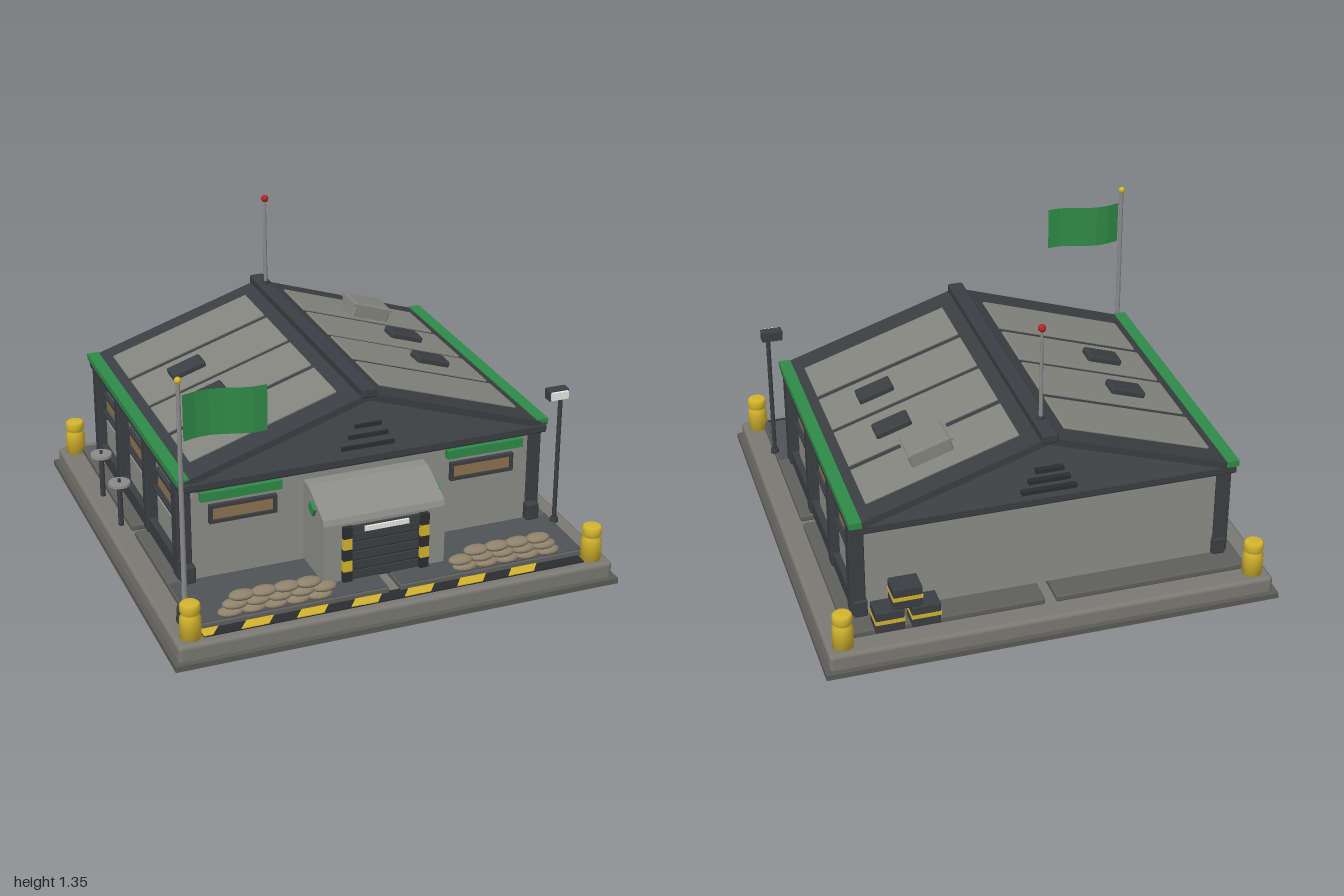
import * as THREE from 'three';
import { RoundedBoxGeometry } from 'three/addons/geometries/RoundedBoxGeometry.js';

const mat = (color, extra = {}) => new THREE.MeshStandardMaterial({ color, ...extra });
const M = {
  slab: mat(0x7a7972), footing: mat(0x5c5b56), paving: mat(0x5f605d), apron: mat(0x505356),
  wall: mat(0x8c8c88), panel: mat(0x85857f), dark: mat(0x3b3e42), gable: mat(0x494c50),
  black: mat(0x2b2d30), green: mat(0x2f8a48), yellow: mat(0xd4b52e), glass: mat(0x8c7250),
  sand: mat(0x8f826c), metal: mat(0x8a8a8a), white: mat(0xe8e8e4), red: mat(0xb02525),
  flag: mat(0x2f8a48, { side: THREE.DoubleSide, flatShading: true }),
};

function add(parent, name, geo, m, x = 0, y = 0, z = 0) {
  const mesh = new THREE.Mesh(geo, m);
  mesh.name = name;
  mesh.position.set(x, y, z);
  parent.add(mesh);
  return mesh;
}
// Box given by its extents on each axis
function box(parent, name, m, [x0, x1], [y0, y1], [z0, z1], r = 0) {
  const s = [x1 - x0, y1 - y0, z1 - z0];
  const geo = r ? new RoundedBoxGeometry(...s, 2, r) : new THREE.BoxGeometry(...s);
  return add(parent, name, geo, m, (x0 + x1) / 2, (y0 + y1) / 2, (z0 + z1) / 2);
}
function cyl(parent, name, m, r0, r1, y0, y1, x, z, n = 16) {
  return add(parent, name, new THREE.CylinderGeometry(r1, r0, y1 - y0, n), m, x, (y0 + y1) / 2, z);
}
function group(parent, name, x = 0, y = 0, z = 0, ry = 0) {
  const g = new THREE.Group();
  g.name = name;
  g.position.set(x, y, z);
  g.rotation.y = ry;
  parent.add(g);
  return g;
}
const polygon = (pts) => new THREE.Shape(pts.map((p) => new THREE.Vector2(...p)));
const extrude = (shape, depth) => new THREE.ExtrudeGeometry(shape, { depth, bevelEnabled: false });

// Framed window facing +z, its back on z = 0
function windowUnit(parent, x, y, z, ry, w, h) {
  const g = group(parent, 'window', x, y, z, ry);
  const rect = (a, b) => [[-a, -b], [a, -b], [a, b], [-a, b]];
  const frame = polygon(rect(w / 2, h / 2));
  frame.holes.push(polygon(rect(w / 2 - 0.015, h / 2 - 0.015).reverse()));
  add(g, 'windowFrame', extrude(frame, 0.02), M.dark);
  box(g, 'windowGlass', M.glass, [-w / 2 + 0.01, w / 2 - 0.01], [-h / 2 + 0.01, h / 2 - 0.01], [0, 0.01]);
}

function buildBase(root) {
  const g = group(root, 'base');
  box(g, 'footing', M.footing, [-1, 1], [0, 0.025], [-1, 1]);
  box(g, 'slab', M.slab, [-0.98, 0.98], [0.01, 0.1], [-0.98, 0.98], 0.02);
  // Four paving plates with a cross-shaped gap
  for (const s of [-1, 1]) {
    const xs = [0.025, 0.885].map((v) => v * s).sort((a, b) => a - b);
    box(g, 'pavingPlate', M.paving, xs, [0.1, 0.13], [-0.885, -0.025], 0.008);
    box(g, 'pavingPlate', M.paving, xs, [0.1, 0.13], [0.025, 0.885], 0.008);
    box(g, 'apron', M.apron, [xs[0] + 0.006, xs[1] - 0.006], [0.125, 0.133], [0.53, 0.879]);
  }
  // Hazard strip along the front edge
  box(g, 'hazardStrip', M.black, [-0.86, 0.86], [0.095, 0.106], [0.87, 0.94]);
  for (let i = -3; i <= 3; i++) {
    const x = -0.13 + i * 0.24;
    const a = Math.max(x - 0.09, -0.86);
    const stripe = polygon([[a, -0.94], [x + 0.03, -0.94], [x + 0.08, -0.87], [Math.max(x - 0.04, -0.86), -0.87]]);
    add(g, 'hazardStripe', extrude(stripe, 0.004), M.yellow, 0, 0.105, 0).rotation.x = -Math.PI / 2;
  }
  // Corner bollards
  const profile = [[0, 0.1], [0.045, 0.1], [0.045, 0.19], [0.036, 0.205], [0.036, 0.215],
    [0.043, 0.222], [0.043, 0.25], [0.036, 0.257], [0, 0.257]].map((p) => new THREE.Vector2(...p));
  for (const x of [-0.907, 0.907]) for (const z of [-0.91, 0.91])
    add(g, 'bollard', new THREE.LatheGeometry(profile, 20), M.yellow, x, 0, z);
}

function buildWalls(root) {
  const g = group(root, 'walls');
  box(g, 'wallBody', M.wall, [-0.79, 0.79], [0.13, 0.58], [-0.765, 0.525]);
  box(g, 'eaveBeam', M.dark, [-0.84, 0.84], [0.565, 0.605], [-0.83, 0.58], 0.008);
  box(g, 'frontHeadTrim', M.dark, [-0.76, 0.76], [0.547, 0.566], [0.52, 0.545]);
  for (const s of [-1, 1]) {
    const side = group(g, 'sideWall', s * 0.79, 0, 0, s * Math.PI / 2);
    // Local x runs along the wall, local z outwards
    const span = (a, b) => (s > 0 ? [-b, -a] : [a, b]);
    box(side, 'plinth', M.dark, span(-0.79, 0.565), [0.13, 0.21], [-0.02, 0.04], 0.008);
    for (const [a, b] of [[0.455, 0.53], [0.02, 0.08], [-0.41, -0.35], [-0.78, -0.71]])
      box(side, 'pillar', M.dark, span(a, b), [0.14, 0.575], [-0.015, 0.05], 0.006);
    for (const c of [0.27, -0.165, -0.56]) {
      windowUnit(side, -s * c, 0.427, 0, 0, 0.3, 0.095);
      box(side, 'windowSill', M.dark, span(c - 0.15, c + 0.15), [0.375, 0.387], [0, 0.028]);
      box(side, 'wallPanel', M.wall, span(c - 0.15, c + 0.15), [0.19, 0.335], [-0.005, 0.012], 0.006);
    }
    // Front face
    windowUnit(g, s * 0.55, 0.43, 0.525, 0, 0.3, 0.085);
    box(g, 'frontAwning', M.green, [s * 0.56 - 0.18, s * 0.56 + 0.18], [0.5, 0.54], [0.52, 0.555]);
  }
}

function buildRoof(root) {
  const g = group(root, 'roof');
  const tilt = 0.316, c = Math.cos(tilt);
  add(g, 'gable', extrude(polygon([[-0.82, 0.595], [0.82, 0.595], [0, 0.87]]), 1.385), M.gable, 0, 0, -0.82);
  for (const s of [-1, 1]) {
    const slope = group(g, 'roofSlope', 0, 0.885, 0);
    slope.rotation.z = -s * tilt;
    // Extents are given as plan x, stretched along the slope
    const on = (name, m, a, b, h, z, r) =>
      box(slope, name, m, [s * a / c, s * b / c].sort((p, q) => p - q), h, z, r);
    on('roofDeck', M.dark, 0, 0.84, [-0.03, 0], [-0.83, 0.575]);
    for (const z of [[-0.725, -0.46], [-0.425, -0.145], [-0.115, 0.15], [0.185, 0.45]])
      on('roofPanel', M.panel, 0.095, 0.75, [-0.01, 0.008], z, 0.004);
    for (const z of [-0.29, 0.015])
      on('roofHatch', M.dark, 0.445, 0.6, [0, 0.035], [z - 0.048, z + 0.048], 0.01);
    if (s > 0) {
      on('roofVentUnit', M.panel, 0.345, 0.525, [0, 0.075], [-0.635, -0.48], 0.01);
      on('roofVentLid', M.panel, 0.335, 0.53, [0.055, 0.068], [-0.64, -0.475]);
    }
    box(g, 'eaveTrim', M.green, [s * 0.82 - 0.027, s * 0.82 + 0.027], [0.602, 0.63], [-0.835, 0.575]);
  }
  box(g, 'ridgeCap', M.dark, [-0.035, 0.035], [0.865, 0.91], [-0.845, 0.58], 0.01);
  // Gable louvres, front and back
  [0.12, 0.09, 0.06].forEach((w, i) => {
    const y = 0.645 + i * 0.048;
    box(g, 'gableLouvre', M.black, [-w, w], [y - 0.009, y + 0.009], [0.555, 0.576]);
    box(g, 'gableLouvre', M.black, [-w, w], [y - 0.009, y + 0.009], [-0.845, -0.81]);
  });
  cyl(g, 'antennaMast', M.metal, 0.009, 0.006, 0.9, 1.32, 0, -0.71, 10);
  cyl(g, 'antennaFoot', M.dark, 0.02, 0.016, 0.9, 0.925, 0, -0.71, 12);
  add(g, 'antennaBeacon', new THREE.SphereGeometry(0.017, 14, 10), M.red, 0, 1.33, -0.71);
}

function buildPorch(root) {
  const g = group(root, 'porch');
  const side = polygon([[0.5, 0.13], [0.765, 0.13], [0.765, 0.4], [0.755, 0.425], [0.73, 0.44],
    [0.61, 0.495], [0.575, 0.507], [0.5, 0.51]]);
  add(g, 'porchShell', extrude(side, 0.55), M.wall, 0.275, 0, 0).rotation.y = -Math.PI / 2;
  g.children[0].position.x = 0.275;
  for (const s of [-1, 1])
    add(g, 'sideLight', new THREE.BoxGeometry(0.025, 0.04, 0.05), M.green, s * 0.277, 0.435, 0.65).rotation.x = 0.45;
  // Roller door with slats between striped posts
  box(g, 'door', M.black, [-0.155, 0.155], [0.13, 0.365], [0.75, 0.77]);
  for (let i = 0; i < 5; i++)
    box(g, 'doorSlat', M.dark, [-0.15, 0.15], [0.14 + i * 0.045, 0.175 + i * 0.045], [0.765, 0.778]);
  for (const s of [-1, 1]) for (let i = 0; i < 5; i++)
    box(g, 'doorPost', i % 2 ? M.yellow : M.black, [s * 0.175 - 0.02, s * 0.175 + 0.02],
      [0.13 + i * 0.052, 0.182 + i * 0.052], [0.74, 0.787]);
  box(g, 'doorHeader', M.dark, [-0.155, 0.155], [0.36, 0.388], [0.75, 0.78]);
  box(g, 'doorLight', M.white, [-0.1, 0.1], [0.362, 0.384], [0.76, 0.79]);
}

function buildYard(root) {
  const g = group(root, 'yard');
  // Sandbag barriers
  const bag = new THREE.SphereGeometry(1, 14, 10);
  for (const s of [-1, 1])
    [[5, 0.525, 0.15], [5, 0.505, 0.183], [4, 0.525, 0.217]].forEach(([n, cx, y]) => {
      for (let i = 0; i < n; i++)
        add(g, 'sandbag', bag, M.sand, s * cx + (i - (n - 1) / 2) * 0.097, y, 0.86).scale.set(0.057, 0.02, 0.036);
    });
  // Flagpole and waving flag
  cyl(g, 'flagpoleFoot', M.dark, 0.038, 0.034, 0.1, 0.165, -0.89, 0.785);
  cyl(g, 'flagpole', M.metal, 0.012, 0.009, 0.13, 1.17, -0.89, 0.785, 12);
  add(g, 'flagpoleFinial', new THREE.SphereGeometry(0.015, 12, 8), M.yellow, -0.89, 1.176, 0.785);
  const cloth = new THREE.PlaneGeometry(0.345, 0.2, 6, 1);
  const p = cloth.attributes.position;
  for (let i = 0; i < p.count; i++)
    p.setZ(i, -0.022 * Math.sin((p.getX(i) / 0.345 + 0.5) * Math.PI * 1.7));
  cloth.computeVertexNormals();
  add(g, 'flag', cloth, M.flag, -0.702, 1.01, 0.785);
  // Floodlight
  cyl(g, 'lampFoot', M.dark, 0.02, 0.018, 0.13, 0.15, 0.885, 0.605, 12);
  cyl(g, 'lampPost', M.dark, 0.01, 0.01, 0.13, 0.74, 0.885, 0.605, 10);
  box(g, 'lampHead', M.dark, [0.82, 0.915], [0.733, 0.782], [0.58, 0.625], 0.004);
  box(g, 'lampLens', M.white, [0.828, 0.907], [0.74, 0.775], [0.615, 0.638]);
  // Valve posts with round caps beside the right wall
  for (const z of [-0.41, -0.105]) {
    cyl(g, 'valveStem', M.dark, 0.012, 0.012, 0.1, 0.31, -0.91, z, 10);
    cyl(g, 'valveCap', M.metal, 0.05, 0.048, 0.303, 0.315, -0.91, z, 20);
    cyl(g, 'valveKnob', M.dark, 0.007, 0.007, 0.315, 0.33, -0.91, z, 8);
  }
  // Stacked crates behind the building
  for (const [x, y] of [[0.552, 0.13], [0.707, 0.13], [0.63, 0.232]]) {
    box(g, 'crate', M.dark, [x - 0.062, x + 0.062], [y, y + 0.1], [-0.92, -0.82], 0.006);
    box(g, 'crateBand', M.yellow, [x - 0.064, x + 0.064], [y + 0.042, y + 0.06], [-0.922, -0.818]);
  }
}

export function createModel() {
  const root = new THREE.Group();
  root.name = 'guardPost';
  for (const build of [buildBase, buildWalls, buildRoof, buildPorch, buildYard]) build(root);
  return root;
}
